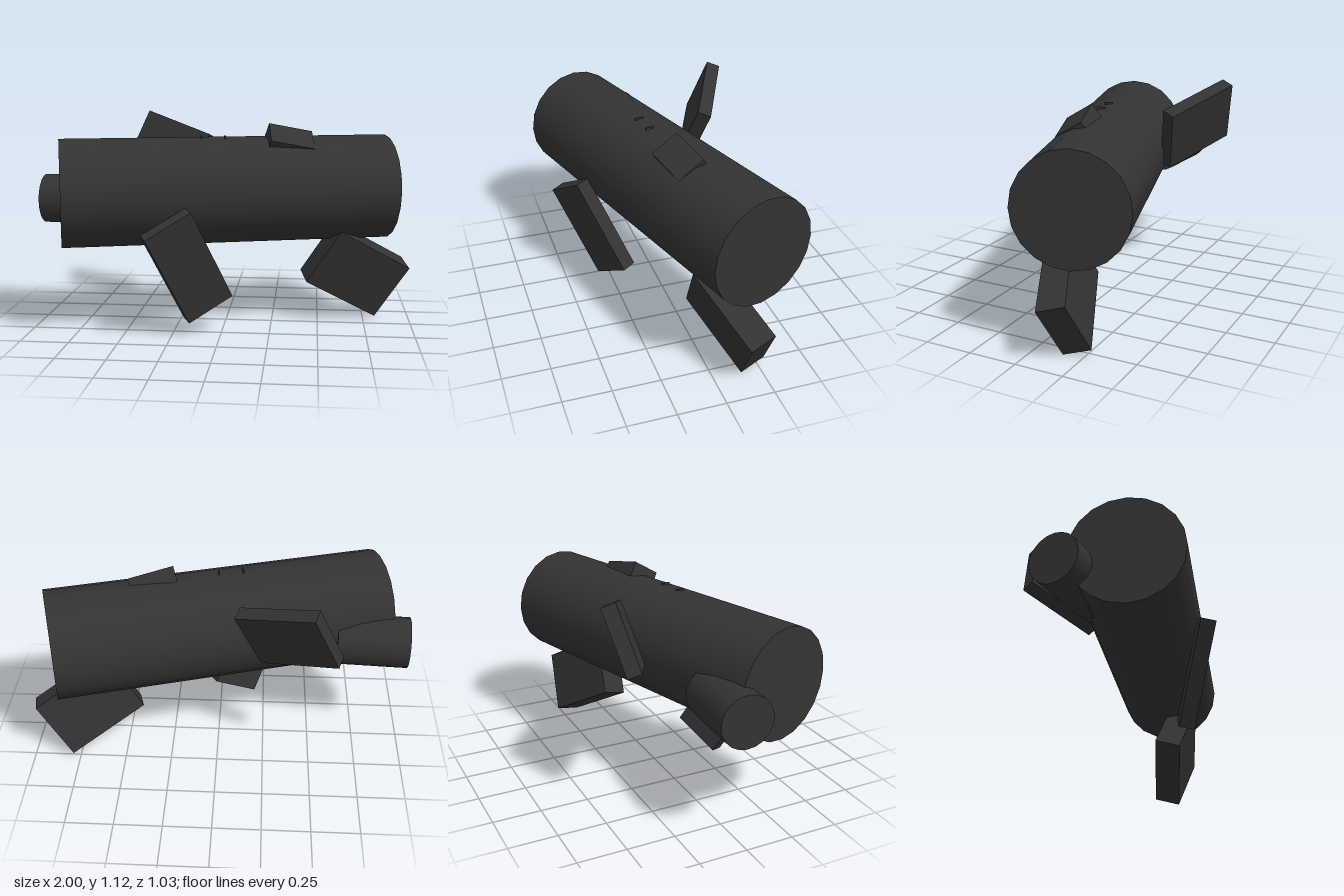
import * as THREE from 'three';

export function createModel() {
  const group = new THREE.Group();
  const charcoal = new THREE.MeshStandardMaterial({ color: 0x333333 });
  charcoal.name = 'charcoal';

  function add(name, geometry) {
    const mesh = new THREE.Mesh(geometry, charcoal);
    mesh.name = name;
    group.add(mesh);
    return mesh;
  }

  // Horizontal round bar between two end centres
  function bar(name, a, b, radius) {
    const from = new THREE.Vector3(...a), to = new THREE.Vector3(...b);
    const d = to.clone().sub(from);
    const geo = new THREE.CylinderGeometry(radius, radius, d.length(), 20);
    geo.rotateZ(-Math.PI / 2);
    const mesh = add(name, geo);
    mesh.position.copy(from).lerp(to, 0.5);
    mesh.rotation.y = Math.atan2(-d.z, d.x);
  }

  // Tilted slab from one corner, its long and wide edges, and a signed thickness
  // measured along long x wide
  function slab(name, corner, long, wide, thickness) {
    const u = new THREE.Vector3(...long), v = new THREE.Vector3(...wide);
    const length = u.length(), width = v.length();
    u.normalize();
    v.addScaledVector(u, -v.dot(u)).normalize();
    const w = new THREE.Vector3().crossVectors(u, v);
    const mesh = add(name, new THREE.BoxGeometry(length, width, Math.abs(thickness)));
    mesh.quaternion.setFromRotationMatrix(new THREE.Matrix4().makeBasis(u, v, w));
    mesh.position.set(...corner)
      .addScaledVector(u, length / 2)
      .addScaledVector(v, width / 2)
      .addScaledVector(w, thickness / 2);
  }

  // Main body and the short stub at its right end
  bar('body', [-0.835, 0.725, 0.273], [0.85, 0.725, -0.213], 0.283);
  bar('stub', [-0.992, 0.66, -0.017], [-0.622, 0.66, 0.003], 0.133);

  // Slabs leaning out of the body
  slab('frontLeg', [-0.348, 0.533, 0.529], [0.19, -0.466, -0.198], [0.214, 0.131, -0.093], -0.078);
  slab('sideLeg', [0.62, 0.507, 0.047], [0.379, -0.225, -0.161], [-0.19, -0.277, -0.031], 0.143);
  slab('backFin', [-0.463, 1.098, -0.487], [0.374, -0.122, 0.187], [-0.139, -0.31, 0.066], -0.073);
  slab('topFin', [0.23, 1.078, 0.003], [0.225, -0.045, -0.06], [0.03, -0.085, 0.13], 0.08);

  // Tiny ridges on top of the body
  for (const [x, z] of [[-0.122, 0.088], [0.003, 0.07]]) {
    const ridge = add('ridge', new THREE.BoxGeometry(0.008, 0.03, 0.045));
    ridge.position.set(x, 0.999, z);
    ridge.rotation.y = 0.15;
  }
  return group;
}
